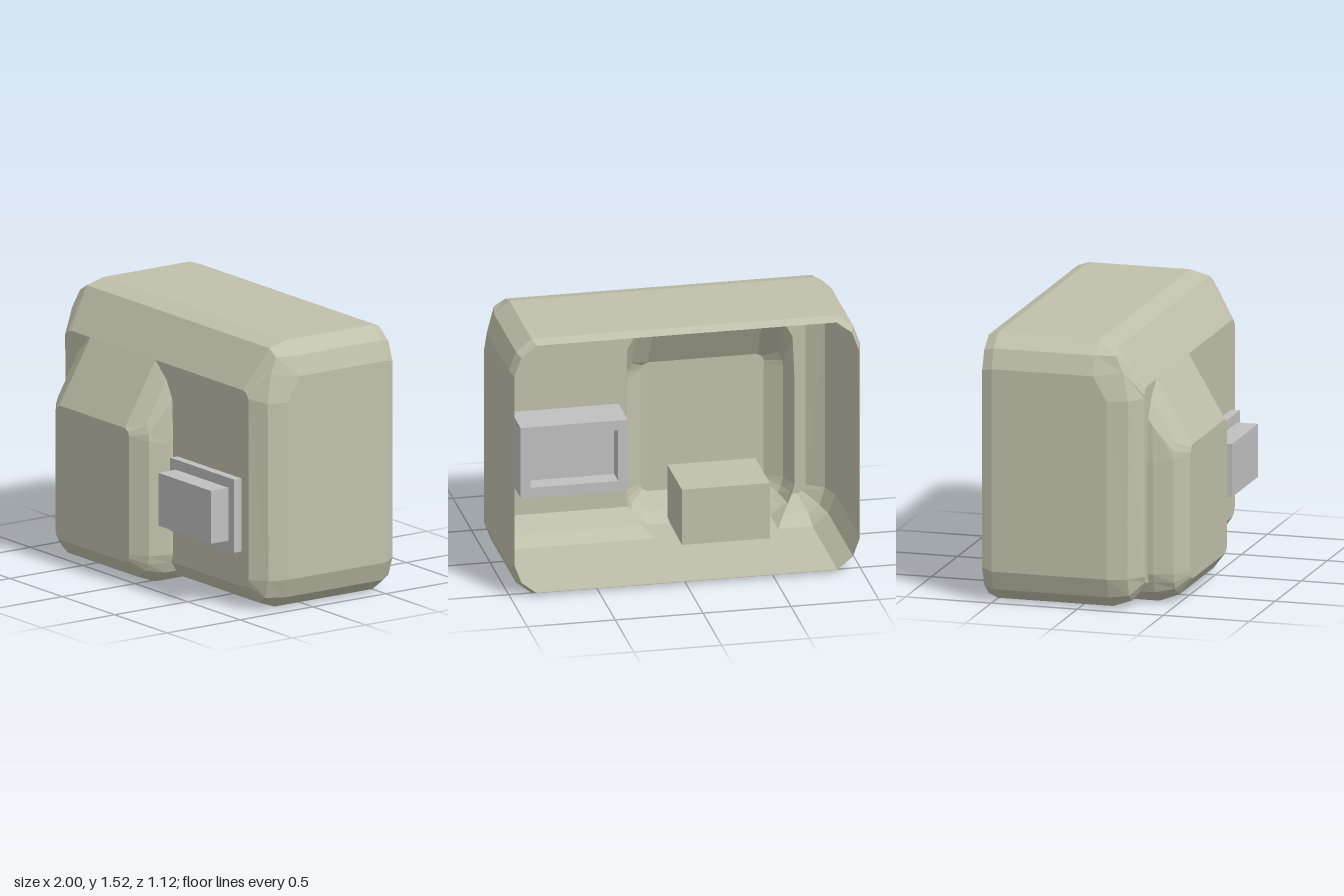
import * as THREE from 'three';

const beige = new THREE.MeshStandardMaterial({ color: 0xc0c0ab, side: THREE.DoubleSide, flatShading: true });
beige.name = 'beige casing';
const grey = new THREE.MeshStandardMaterial({ color: 0xc0c0c0, flatShading: true });
grey.name = 'grey socket';

const POD_X = -0.325; // centre line of the raised pod

// Mesh made from four-cornered faces
function quadMesh(name, quads) {
  const pos = [];
  for (const [a, b, c, d] of quads) pos.push(...a, ...b, ...c, ...a, ...c, ...d);
  const g = new THREE.BufferGeometry();
  g.setAttribute('position', new THREE.Float32BufferAttribute(pos, 3));
  g.computeVertexNormals();
  const m = new THREE.Mesh(g, beige);
  m.name = name;
  return m;
}

// Full ring from its +x half, listed from bottom to top and mirrored about cx
function ring(half, cx = 0) {
  const right = half.map(([x, y, z]) => [cx + x, y, z]);
  const left = half.map(([x, y, z]) => [cx - x, y, z]).reverse();
  return [...right, ...left];
}

// Join rings; the bottom span is left out unless closed
function loft(name, rings, closed = false) {
  const quads = [];
  for (let r = 0; r + 1 < rings.length; r++) {
    const a = rings[r], b = rings[r + 1], n = a.length;
    for (let i = 0; i < (closed ? n : n - 1); i++) {
      const j = (i + 1) % n;
      quads.push([a[i], a[j], b[j], b[i]]);
    }
  }
  return quadMesh(name, quads);
}

function plate(name, points) {
  const shape = new THREE.Shape(points.map(p => new THREE.Vector2(p[0], p[1])));
  const m = new THREE.Mesh(new THREE.ShapeGeometry(shape), beige);
  m.name = name;
  return m;
}

export function createModel() {
  const model = new THREE.Group();
  model.name = 'housing';

  // Main shell, open at the back
  const outline = [[0.87, 0], [0.96, 0.07], [1, 0.18], [1, 1.2], [1, 1.34], [0.96, 1.45], [0.87, 1.52]];
  const frontZ = [0.17, 0.17, 0.17, 0.17, 0.09, 0.09, 0.09];
  const rim = ring(outline.map(([x, y]) => [x * 0.98, 0.76 + (y - 0.76) * 0.974, -0.56]));
  const body = ring(outline.map(([x, y]) => [x, y, -0.5]));
  const shoulder = ring(outline.map(([x, y], i) => [x, y, frontZ[i]]));
  const bevel = ring([[0.87, 0.04, 0.28], [0.935, 0.08, 0.28], [0.965, 0.18, 0.28], [0.965, 1.2, 0.285],
    [0.945, 1.36, 0.25], [0.935, 1.45, 0.205], [0.87, 1.49, 0.205]]);
  const face = [[0.82, 0.13, 0.35], [0.85, 0.145, 0.35], [0.87, 0.18, 0.35], [0.87, 1.2, 0.35],
    [0.87, 1.22, 0.35], [0.85, 1.25, 0.35], [0.82, 1.26, 0.35]];
  model.add(loft('backRim', [rim, body], true));
  model.add(loft('shell', [body, shoulder, bevel, ring(face)]));

  // Pod rings, from the shell wall to the front face
  const podBack = [[0.35, 0, 0.17], [0.404, 0.04, 0.28], [0.445, 0.07, 0.303], [0.465, 0.13, 0.35],
    [0.48, 0.18, 0.35], [0.48, 0.84, 0.35], [0.47, 1.07, 0.35], [0.415, 1.17, 0.35], [0.31, 1.26, 0.35]];
  const podSide = [...podBack.slice(0, 5).map(([x, y]) => [x, y, 0.38]),
    [0.48, 0.82, 0.38], [0.47, 1.03, 0.375], [0.415, 1.144, 0.365], [0.31, 1.24, 0.362]];
  const podBevel = [[0.33, 0.04, 0.49], [0.38, 0.065, 0.49], [0.415, 0.09, 0.49], [0.435, 0.13, 0.49],
    [0.445, 0.18, 0.49], [0.445, 0.84, 0.49], [0.44, 0.88, 0.49], [0.415, 0.93, 0.49], [0.31, 1.02, 0.49]];
  const podFace = [[0.31, 0.13, 0.56], [0.325, 0.137, 0.56], [0.34, 0.145, 0.56], [0.347, 0.16, 0.56],
    [0.35, 0.18, 0.56], [0.35, 0.84, 0.56], [0.35, 0.86, 0.56], [0.34, 0.885, 0.56], [0.31, 0.9, 0.56]];
  model.add(loft('pod', [podBack, podSide, podBevel, podFace].map(h => ring(h, POD_X))));
  const podFront = plate('podFront', ring(podFace, POD_X));
  podFront.position.z = 0.56;
  model.add(podFront);

  // Front wall and lower bevels on either side of the pod opening
  for (const s of [1, -1]) {
    const podEdge = podBack.slice(3).map(([x, y]) => [POD_X + s * x, y]).reverse();
    const wall = plate(s > 0 ? 'frontWallLeft' : 'frontWallRight',
      [...face.map(([x, y]) => [s * x, y]), ...podEdge]);
    wall.position.z = 0.35;
    // keep the panel facing forward on both sides
    model.add(wall);
    const e = [podBack[0], podBack[1], podBack[3]].map(([x, y, z]) => [POD_X + s * x, y, z]);
    const o = [[s * 0.87, 0, 0.17], [s * 0.87, 0.04, 0.28], [s * 0.82, 0.13, 0.35]];
    model.add(quadMesh('lowerBevel', [[e[0], o[0], o[1], e[1]], [e[1], o[1], o[2], e[2]]]));
  }

  // Floor with a tongue under the pod and a cut-out for the recess
  const floor = plate('floor', [[-0.87, -0.5], [0.87, -0.5], [0.87, 0.17], [0.025, 0.17], [0.025, 0.38],
    [-0.1, 0.38], [-0.1, 0.04], [-0.6, 0.04], [-0.6, 0.38], [-0.675, 0.38], [-0.675, 0.17], [-0.87, 0.17]]);
  floor.rotation.x = Math.PI / 2;
  model.add(floor);
  model.add(quadMesh('podLowerBevel', [
    [[-0.675, 0, 0.38], [-0.6, 0, 0.38], [-0.6, 0.04, 0.49], [-0.655, 0.04, 0.49]],
    [[-0.1, 0, 0.38], [0.025, 0, 0.38], [0.005, 0.04, 0.49], [-0.1, 0.04, 0.49]],
    [[-0.6, 0.018, 0.43], [-0.1, 0.018, 0.43], [-0.1, 0.04, 0.49], [-0.6, 0.04, 0.49]],
    [[-0.655, 0.04, 0.49], [0.005, 0.04, 0.49], [-0.015, 0.13, 0.56], [-0.635, 0.13, 0.56]],
  ]));

  // Recess box, open at the bottom
  const base = [[-0.6, 0, 0.04], [-0.1, 0, 0.04], [-0.1, 0.018, 0.43], [-0.6, 0.018, 0.43]];
  const lid = base.map(([x, , z]) => [x, 0.33, z]);
  model.add(quadMesh('recess', [lid, ...base.map((p, i) => {
    const j = (i + 1) % 4;
    return [p, base[j], lid[j], lid[i]];
  })]));

  // Socket frame through the front wall, with the block set in it
  const socket = new THREE.Group();
  socket.name = 'socket';
  const rect = (C, x0, y0, x1, y1) => new C([[x0, y0], [x1, y0], [x1, y1], [x0, y1]].map(p => new THREE.Vector2(...p)));
  const frameShape = rect(THREE.Shape, 0.195, 0.33, 0.805, 0.75);
  frameShape.holes.push(rect(THREE.Path, 0.25, 0.388, 0.75, 0.692));
  const frame = new THREE.Mesh(new THREE.ExtrudeGeometry(frameShape, { depth: 0.3, bevelEnabled: false }), grey);
  frame.name = 'socketFrame';
  frame.position.z = 0.1;
  const block = new THREE.Mesh(new THREE.BoxGeometry(0.5, 0.304, 0.31), grey);
  block.name = 'socketBlock';
  block.position.set(0.5, 0.54, 0.365);
  socket.add(frame, block);
  model.add(socket);

  return model;
}
